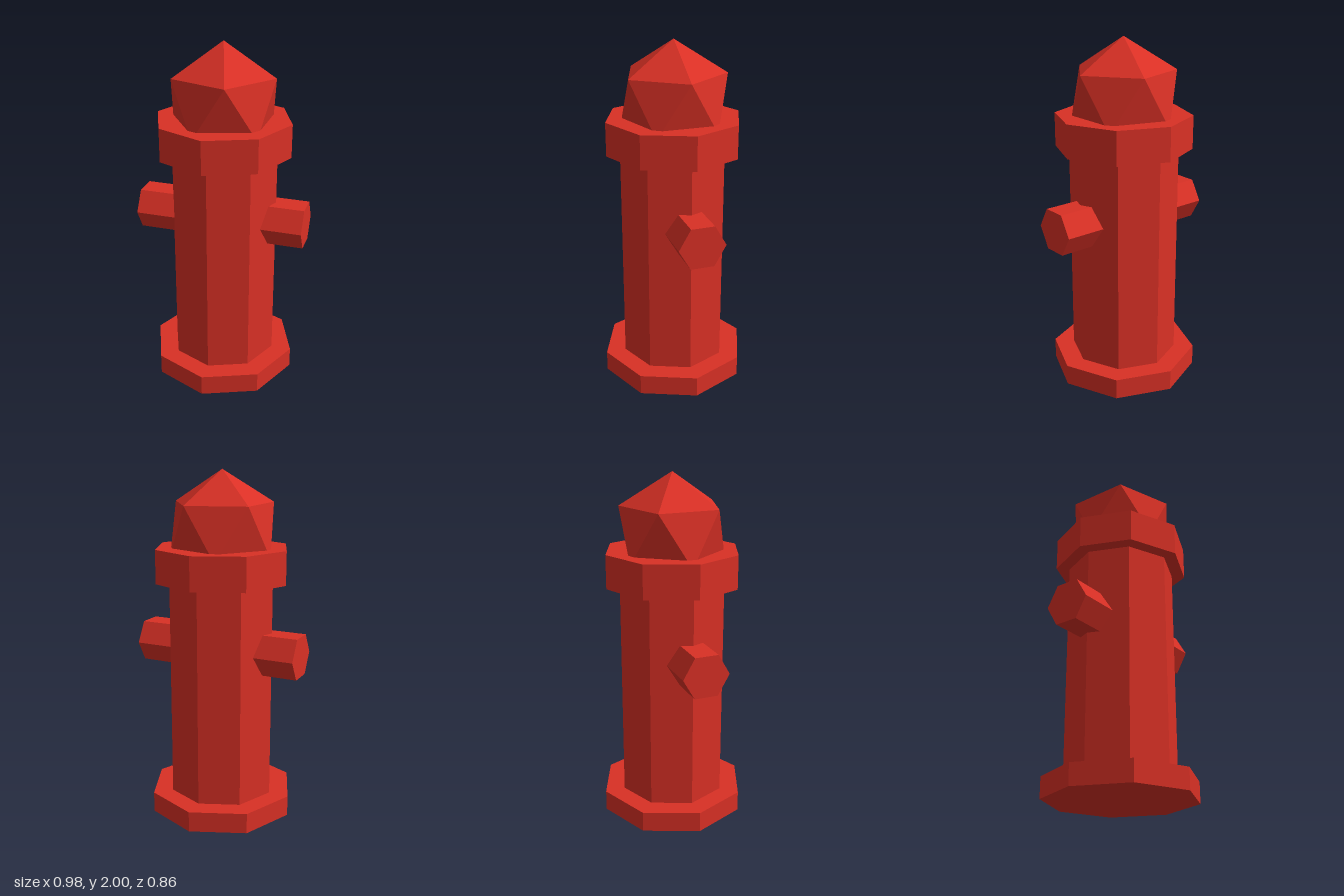
import * as THREE from 'three';

export function createModel() {
  const group = new THREE.Group();
  const red = new THREE.MeshStandardMaterial({ color: 0xd93025, flatShading: true });
  red.name = 'hydrant red';

  const add = (name, geometry, x, y) => {
    const mesh = new THREE.Mesh(geometry, red);
    mesh.name = name;
    mesh.position.set(x, y, 0);
    group.add(mesh);
  };

  // Stacked octagonal sections: name, radius, bottom, top
  const sections = [
    ['base', 0.43, 0, 0.12],
    ['barrel', 0.312, 0.12, 1.38],
    ['collar', 0.39, 1.38, 1.572],
  ];
  for (const [name, r, y0, y1] of sections) {
    add(name, new THREE.CylinderGeometry(r, r, y1 - y0, 8), 0, (y0 + y1) / 2);
  }

  // Faceted cap: icosahedron standing on a point, sunk into the collar
  const capRadius = 0.33;
  const cap = new THREE.IcosahedronGeometry(capRadius, 0);
  cap.rotateZ(-Math.atan(2 / (1 + Math.sqrt(5))));
  add('cap', cap, 0, 2 - capRadius);

  // Hexagonal side outlets
  for (const [name, side] of [['leftOutlet', 1], ['rightOutlet', -1]]) {
    const outlet = new THREE.CylinderGeometry(0.135, 0.135, 0.27, 6);
    outlet.rotateZ(Math.PI / 2);
    add(name, outlet, side * 0.354, 0.985);
  }

  return group;
}
